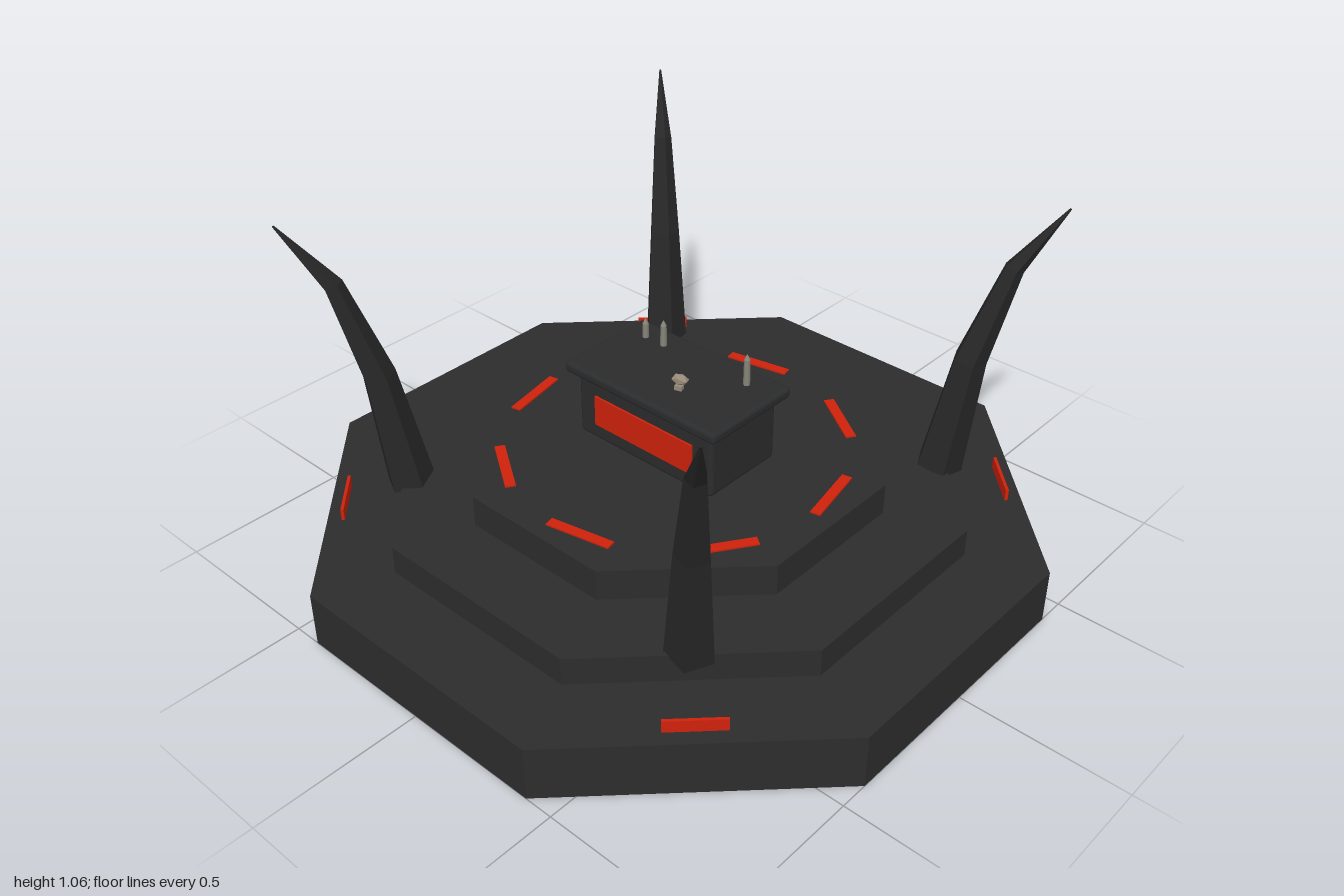
import * as THREE from 'three';
import { RoundedBoxGeometry } from 'three/addons/geometries/RoundedBoxGeometry.js';

const mat = (name, color, flatShading = false) => {
  const m = new THREE.MeshStandardMaterial({ color, flatShading });
  m.name = name;
  return m;
};

export function createModel() {
  const stone = mat('dark stone', 0x2d2d2d);
  const altarStone = mat('altar stone', 0x2b2c2d);
  const spikeStone = mat('spike stone', 0x272727, true);
  const red = mat('glowing red', 0xd0220c);
  const wax = mat('candle wax', 0x85857a);
  const bone = mat('bone', 0x988a78, true);

  const root = new THREE.Group();
  root.name = 'altarPlatform';
  const add = (name, geo, material, x = 0, y = 0, z = 0, ry = 0, parent = root) => {
    const m = new THREE.Mesh(geo, material);
    m.name = name;
    m.position.set(x, y, z);
    m.rotation.y = ry;
    parent.add(m);
    return m;
  };

  // Three stacked octagonal steps: apothem, bottom, top
  [[1, 0, 0.165], [0.783, 0.165, 0.25], [0.565, 0.25, 0.345]].forEach(([a, y0, y1], i) => {
    const r = a / Math.cos(Math.PI / 8);
    const geo = new THREE.CylinderGeometry(r, r, y1 - y0, 8).toNonIndexed();
    geo.computeVertexNormals();
    add('step' + (i + 1), geo, stone, 0, (y0 + y1) / 2, 0, Math.PI / 8);
  });

  // Ring of red floor inlays
  const inlay = new THREE.BoxGeometry(0.03, 0.006, 0.197);
  for (let i = 0; i < 8; i++) {
    const a = (-11.25 + 45 * i) * Math.PI / 180;
    add('floorInlay', inlay, red, 0.493 * Math.cos(a), 0.347, 0.493 * Math.sin(a), -a);
  }

  // Curved five-sided spike: outward distance, height, radius, tilt (tip to base)
  const rings = [
    [1.044, 1.06, 0.003, 0.5],
    [0.912, 0.885, 0.029, 0.35],
    [0.82, 0.6, 0.049, 0.18],
    [0.764, 0.245, 0.07, 0.2],
  ];
  const spike = new THREE.CylinderGeometry(1, 1, 1, 5, 3);
  const p = spike.attributes.position;
  for (let i = 0; i < p.count; i++) {
    const [s, h, r, t] = rings[Math.round((0.5 - p.getY(i)) * 3)];
    const x = p.getX(i) * r;
    p.setXYZ(i, s + x * Math.cos(t), h - x * Math.sin(t), p.getZ(i) * r);
  }
  spike.computeVertexNormals();

  // Spikes and red plates on the four diagonals
  const plate = new THREE.BoxGeometry(0.009, 0.036, 0.165);
  for (let i = 0; i < 4; i++) {
    const corner = new THREE.Group();
    corner.name = 'corner' + (i + 1);
    corner.rotation.y = Math.PI / 4 + i * Math.PI / 2;
    root.add(corner);
    add('spike', spike, spikeStone, 0, 0, 0, 0, corner);
    add('cornerPlate', plate, red, 0.955, 0.183, 0, 0, corner);
  }

  // Altar block, slab and its front and back panels
  add('altarBody', new RoundedBoxGeometry(0.5, 0.2, 0.272, 2, 0.014), altarStone, 0, 0.443, 0);
  add('altarSlab', new RoundedBoxGeometry(0.56, 0.034, 0.324, 2, 0.012), altarStone, 0, 0.56, 0);
  const panel = new THREE.BoxGeometry(0.365, 0.095, 0.008);
  for (const s of [1, -1]) add('altarPanel', panel, red, 0, 0.443, s * 0.138);

  // Candles with pointed tops
  [[-0.2, 0.64], [-0.13, 0.66], [0.18, 0.675]].forEach(([x, top]) => {
    const candle = new THREE.Group();
    candle.name = 'candle';
    candle.position.set(x, 0.576, -0.09);
    root.add(candle);
    const h = top - 0.576 - 0.018;
    add('candleStem', new THREE.CylinderGeometry(0.009, 0.01, h, 8), wax, 0, h / 2, 0, 0, candle);
    add('candleTip', new THREE.ConeGeometry(0.009, 0.018, 8), wax, 0, h + 0.009, 0, 0, candle);
  });

  // Small skull lying on the slab
  const skull = new THREE.Group();
  skull.name = 'skull';
  skull.position.set(0.054, 0.576, 0.043);
  skull.rotation.y = 0.3;
  root.add(skull);
  add('cranium', new THREE.IcosahedronGeometry(0.02, 0), bone, 0, 0.026, 0, 0, skull).scale.set(1.35, 0.85, 0.9);
  add('jaw', new THREE.BoxGeometry(0.022, 0.014, 0.016), bone, 0.002, 0.008, 0.012, 0, skull);

  return root;
}
